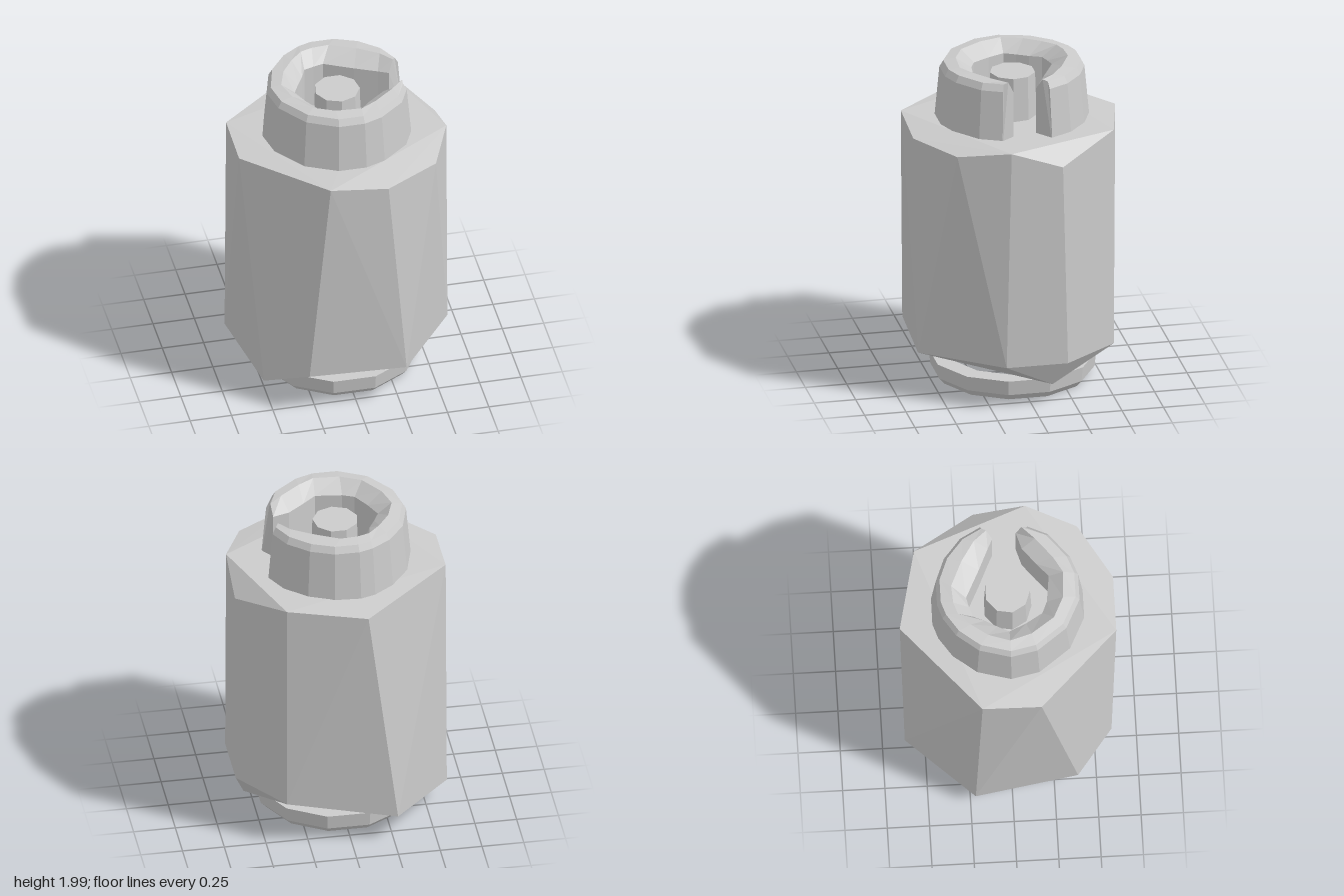
import * as THREE from 'three';
import { ConvexGeometry } from 'three/addons/geometries/ConvexGeometry.js';

const material = new THREE.MeshStandardMaterial({ color: 0xcccccc, flatShading: true });

function addPart(group, name, geometry) {
  const mesh = new THREE.Mesh(geometry, material);
  mesh.name = name;
  group.add(mesh);
  return mesh;
}

// Irregular faceted block: an upper and a lower ring of corners [x, y, z]
function bodyGeometry() {
  const top = [
    [0.63, 1.65, 0.14], [0.63, 1.54, -0.17], [0.38, 1.65, -0.53],
    [-0.09, 1.62, -0.64], [-0.63, 1.645, -0.18], [-0.63, 1.63, 0.17],
    [-0.18, 1.65, 0.635], [0.17, 1.61, 0.635], [0.5, 1.605, 0.44],
  ];
  const bottom = [
    [0.63, 0.29, 0.17], [0.63, 0.29, -0.2], [0.57, 0.14, -0.12],
    [0.38, 0.29, -0.53], [-0.27, 0.19, -0.62], [-0.63, 0.15, -0.22],
    [-0.53, 0.15, 0.39], [-0.3, 0.29, 0.6], [0.28, 0.29, 0.63],
  ];
  return new ConvexGeometry([...top, ...bottom].map((p) => new THREE.Vector3(...p)));
}

// C-shaped collar swept through stations of [outer x, outer z, inner x, inner z]
function collarGeometry() {
  const stations = [
    [0.43, -0.15, 0.33, -0.07], [0.36, -0.28, 0.27, -0.1],
    [0.23, -0.39, 0.14, -0.16], [0.08, -0.45, -0.03, -0.245],
    [-0.08, -0.45, -0.09, -0.23], [-0.17, -0.42, -0.15, -0.21],
    [-0.29, -0.34, -0.18, -0.14], [-0.4, -0.2, -0.22, -0.07],
    [-0.455, 0, -0.255, 0], [-0.42, 0.17, -0.21, 0.1],
    [-0.28, 0.36, -0.15, 0.2], [-0.09, 0.455, -0.08, 0.23],
    [0.08, 0.455, 0.08, 0.25], [0.2, 0.41, 0.16, 0.18],
    [0.36, 0.28, 0.26, 0.1], [0.42, 0.15, 0.36, 0.07],
  ];
  // Cross-section: [blend from outer to inner, scale about the axis, height]
  const section = [
    [0, 1, 1.6], [0, 0.93, 1.95], [0, 0.88, 1.99],
    [0.5, 0.95, 2], [1, 1, 1.93], [1, 1, 1.6],
  ];
  const n = section.length;
  const positions = [];
  for (const [ox, oz, ix, iz] of stations) {
    for (const [t, s, y] of section) {
      positions.push(s * (ox + (ix - ox) * t), y, s * (oz + (iz - oz) * t));
    }
  }
  const index = [];
  for (let i = 0; i < stations.length - 1; i++) {
    for (let j = 0; j < n - 1; j++) {
      const a = i * n + j;
      index.push(a, a + n, a + n + 1, a, a + n + 1, a + 1);
    }
  }
  // Close the two ends beside the opening
  const last = (stations.length - 1) * n;
  for (let j = 1; j < n - 1; j++) {
    index.push(0, j, j + 1, last, last + j + 1, last + j);
  }
  const geometry = new THREE.BufferGeometry();
  geometry.setAttribute('position', new THREE.Float32BufferAttribute(positions, 3));
  geometry.setIndex(index);
  geometry.computeVertexNormals();
  return geometry;
}

// Bevelled foot ring, a closed profile turned around the axis
function footRingGeometry() {
  const profile = [
    [0.38, 0.14], [0.35, 0.05], [0.38, 0.01], [0.45, 0.01],
    [0.485, 0.05], [0.495, 0.14], [0.38, 0.14],
  ];
  return new THREE.LatheGeometry(profile.map((p) => new THREE.Vector2(...p)), 12, Math.PI / 12);
}

export function createModel() {
  const group = new THREE.Group();
  addPart(group, 'body', bodyGeometry());
  addPart(group, 'collar', collarGeometry());
  addPart(group, 'footRing', footRingGeometry());

  // Stub standing inside the collar
  const stub = addPart(group, 'centreStub', new THREE.CylinderGeometry(0.135, 0.145, 0.32, 9));
  stub.position.y = 1.76;
  return group;
}
